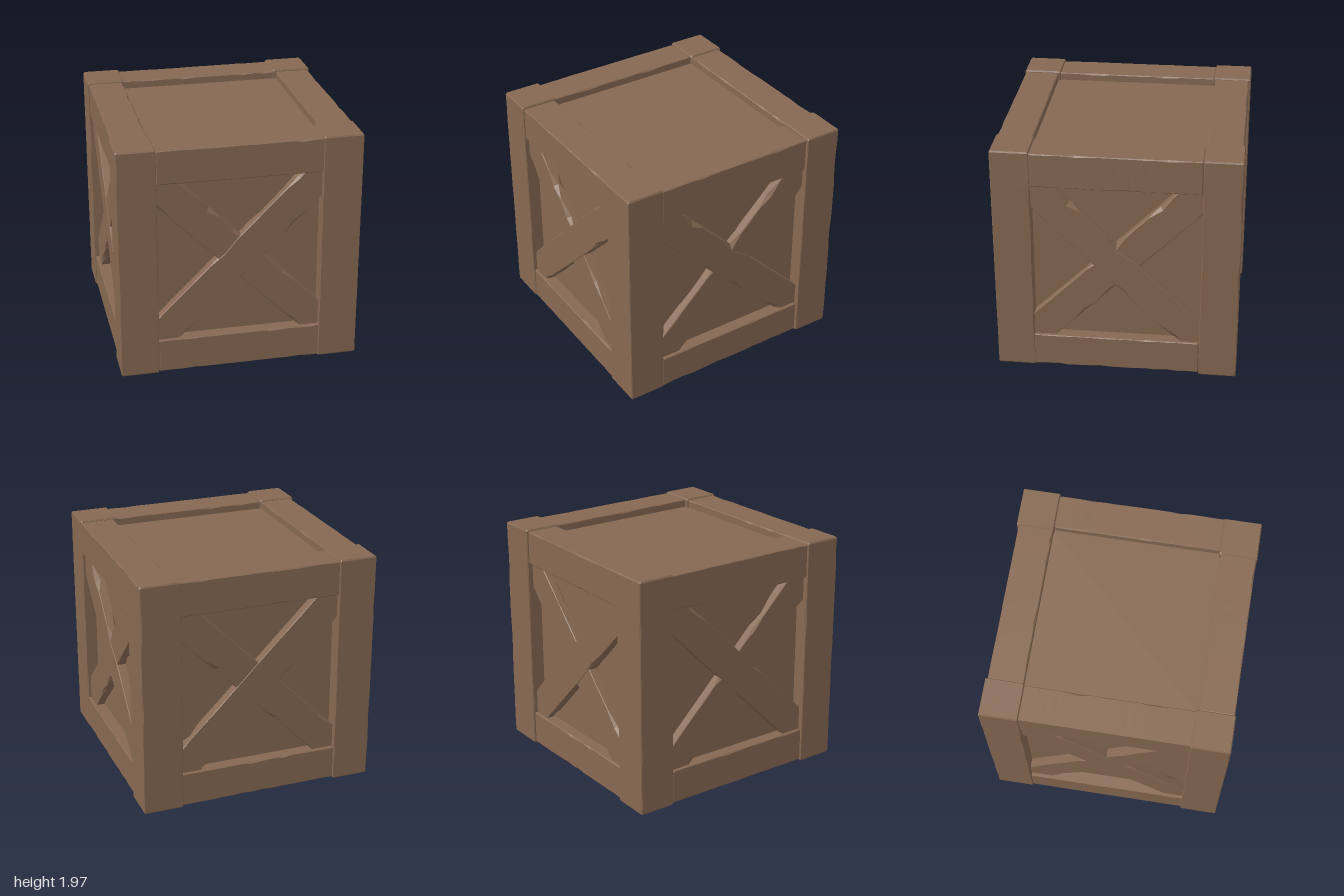
import * as THREE from 'three';

export function createModel() {
  const crate = new THREE.Group();
  crate.name = 'crate';
  const wood = new THREE.MeshStandardMaterial({ color: 0x866852, flatShading: true });
  wood.name = 'brown wood';

  let seed = 11;
  const rnd = () => ((seed = (seed * 16807) % 2147483647) / 2147483647);

  // Plank along y: octagonal cross-sections whose corner bevels vary like worn, chipped edges
  function plank(name, length, width, depth, chip, chance) {
    const count = 16, ys = [-length / 2];
    for (let i = 0; i < count; i++) {
      const jitter = i > 0 && i < count - 1 ? (rnd() - 0.5) * 0.5 : 0;
      ys.push((length - 0.024) * ((i + jitter) / (count - 1) - 0.5));
    }
    ys.push(length / 2);

    const pos = [], index = [];
    ys.forEach((y, i) => {
      const inset = i === 0 || i === ys.length - 1 ? 0.008 : 0;
      const w = width / 2 - inset, d = depth / 2 - inset;
      [[1, 1], [-1, 1], [-1, -1], [1, -1]].forEach(([sx, sz]) => {
        const c = rnd() < chance ? chip * (0.4 + 0.6 * rnd()) : 0.003 + 0.005 * rnd();
        const onSide = [sx * w, y, sz * (d - c)];
        const onFace = [sx * (w - c), y, sz * d];
        pos.push(...(sx * sz > 0 ? [...onSide, ...onFace] : [...onFace, ...onSide]));
      });
    });
    for (let i = 0; i < ys.length - 1; i++) {
      for (let j = 0; j < 8; j++) {
        const a = i * 8 + j, b = i * 8 + ((j + 1) % 8);
        index.push(a, a + 8, b, b, a + 8, b + 8);
      }
    }
    const top = (ys.length - 1) * 8;
    for (let j = 1; j < 7; j++) index.push(0, j, j + 1, top, top + j + 1, top + j);

    const indexed = new THREE.BufferGeometry();
    indexed.setAttribute('position', new THREE.Float32BufferAttribute(pos, 3));
    indexed.setIndex(index);
    const geometry = indexed.toNonIndexed();
    geometry.computeVertexNormals();
    const mesh = new THREE.Mesh(geometry, wood);
    mesh.name = name;
    return mesh;
  }

  // Inner box forming the recessed panels on all six sides
  const panels = new THREE.Mesh(new THREE.BoxGeometry(1.76, 1.86, 1.76), wood);
  panels.name = 'innerPanels';
  panels.position.y = 0.97;
  crate.add(panels);

  // Corner posts, each slightly out of line: x min, x max, z min, z max
  [
    [-0.995, -0.68, -1, -0.685],
    [0.665, 1, -1, -0.69],
    [-1, -0.685, 0.675, 0.992],
    [0.66, 0.985, 0.68, 0.992],
  ].forEach(([x0, x1, z0, z1]) => {
    const post = plank('cornerPost', 1.97, x1 - x0, z1 - z0, 0.016, 0.15);
    post.position.set((x0 + x1) / 2, 0.993, (z0 + z1) / 2);
    crate.add(post);
  });

  // Four sides: bottom rail, top rail and crossed braces
  for (let k = 0; k < 4; k++) {
    const side = new THREE.Group();
    side.name = ['frontSide', 'rightSide', 'backSide', 'leftSide'][k];
    side.rotation.y = (k * Math.PI) / 2;

    [['bottomRail', 0.16], ['topRail', 1.822]].forEach(([name, y]) => {
      const rail = plank(name, 1.38, 0.284, 0.288, 0.016, 0.2);
      rail.rotation.z = Math.PI / 2;
      rail.position.set(0, y, 0.839);
      side.add(rail);
    });

    const lean = k % 2 ? 1 : -1;
    [['upperBrace', lean, 0.913], ['lowerBrace', -lean, 0.909]].forEach(([name, dir, z]) => {
      const brace = plank(name, 2.2, 0.268, 0.09, 0.045, 0.2);
      brace.rotation.z = (dir * Math.PI) / 4;
      brace.position.set(0, 0.99, z);
      side.add(brace);
    });
    crate.add(side);
  }
  return crate;
}
